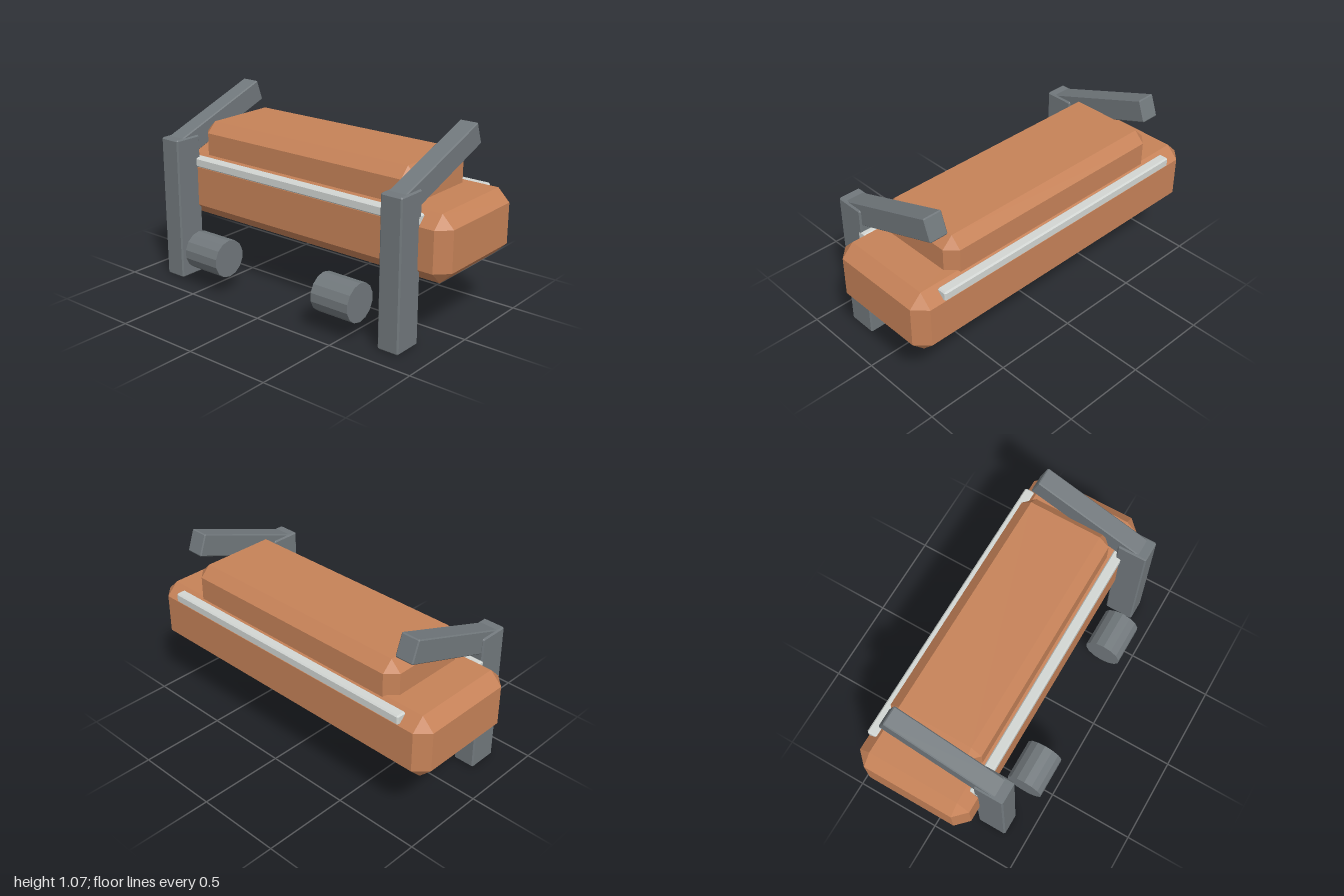
import * as THREE from 'three';
import { ConvexGeometry } from 'three/addons/geometries/ConvexGeometry.js';

const mat = (name, color) => {
  const m = new THREE.MeshStandardMaterial({ color, flatShading: true });
  m.name = name;
  return m;
};

// Box with every edge and corner cut by a flat chamfer c
function chamferBox(w, h, d, c) {
  const pts = [];
  const [x, y, z] = [w / 2, h / 2, d / 2];
  for (const sx of [-1, 1]) for (const sy of [-1, 1]) for (const sz of [-1, 1]) {
    pts.push(
      new THREE.Vector3(sx * x, sy * (y - c), sz * (z - c)),
      new THREE.Vector3(sx * (x - c), sy * y, sz * (z - c)),
      new THREE.Vector3(sx * (x - c), sy * (y - c), sz * z));
  }
  return new ConvexGeometry(pts);
}

export function createModel() {
  const model = new THREE.Group();
  model.name = 'model';
  const copper = mat('copper', 0xc68258);
  const steel = mat('steelGrey', 0x71787c);
  const silver = mat('paleSilver', 0xd2d6d3);

  const add = (name, geometry, material, x, y, z) => {
    const mesh = new THREE.Mesh(geometry, material);
    mesh.name = name;
    mesh.position.set(x, y, z);
    model.add(mesh);
    return mesh;
  };

  // Long body with a raised upper block
  add('body', chamferBox(0.675, 0.37, 2, 0.07), copper, 0.1125, 0.535, 0);
  add('upperBlock', chamferBox(0.55, 0.305, 1.48, 0.06), copper, 0.115, 0.7525, 0);

  // Trim rails along both long sides
  for (const s of [-1, 1]) {
    add(s > 0 ? 'leftRail' : 'rightRail', chamferBox(0.06, 0.056, 1.68, 0.008),
      silver, 0.1125 + s * 0.314, 0.68, 0);
  }

  // Post, sloping arm and roller at each end
  for (const s of [-1, 1]) {
    const end = s > 0 ? 'front' : 'back';
    add(end + 'Post', chamferBox(0.175, 0.84, 0.13, 0.008), steel, -0.2875, 0.42, s * 0.775);
    const arm = add(end + 'Arm', chamferBox(0.68, 0.13, 0.11, 0.006), steel, 0.013, 0.893, s * 0.775);
    arm.rotation.z = THREE.MathUtils.degToRad(20);
    const roller = add(end + 'Roller', new THREE.CylinderGeometry(0.109, 0.109, 0.24, 14), steel,
      -0.355, 0.212, s * 0.464);
    roller.rotation.x = Math.PI / 2;
  }
  return model;
}
